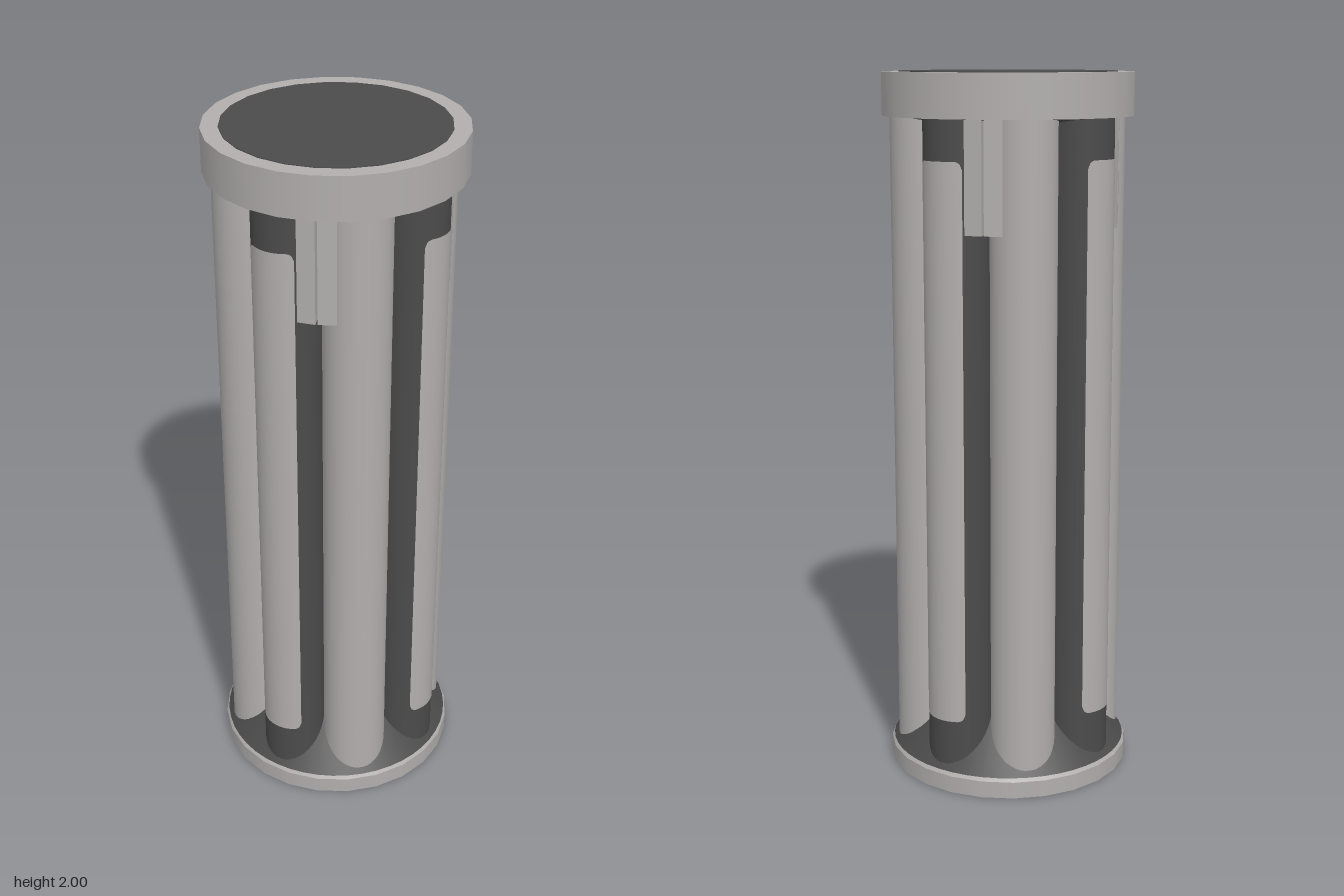
import * as THREE from 'three';

const light = new THREE.MeshStandardMaterial({ name: 'lightGrey', color: 0xb2aeae });
const dark = new THREE.MeshStandardMaterial({ name: 'darkGrey', color: 0x4b4b4b });

const RING = 0.238;  // distance of column centres from the axis
const RADIUS = 0.091;
const SIDES = 24;

function add(parent, name, geometry, material, x = 0, y = 0, z = 0) {
  const mesh = new THREE.Mesh(geometry, material);
  mesh.name = name;
  mesh.position.set(x, y, z);
  parent.add(mesh);
  return mesh;
}

// Upright cylinder or cone between two heights
function drum(parent, name, rTop, rBottom, y0, y1, material, sides = SIDES) {
  const geometry = new THREE.CylinderGeometry(rTop, rBottom, y1 - y0, sides);
  return add(parent, name, geometry, material, 0, (y0 + y1) / 2, 0);
}

// Thin curved plate over a quarter of a tube, with rounded corners
function plateGeometry(height, angle) {
  const corner = 0.022, radius = RADIUS + 0.0015, arc = Math.PI / 2;
  const g = new THREE.CylinderGeometry(radius, radius, height, 24, 1, true, angle - arc / 2, arc);
  const p = g.attributes.position, uv = g.attributes.uv;
  for (let i = 0; i < p.count; i++) {
    const u = uv.getX(i);
    const edge = Math.min(u, 1 - u) * arc * radius;
    const d = Math.max(0, corner - edge);
    const cut = corner - Math.sqrt(corner * corner - d * d);
    p.setY(i, p.getY(i) - Math.sign(p.getY(i)) * cut);
  }
  return g;
}

// Half of an upper block; side is -1 or 1
function blockGeometry(side) {
  const pts = [[0.003, 0.2], [0.056, 0.2], [0.056, 0.301], [0.003, 0.308]];
  const shape = new THREE.Shape(pts.map(([x, z]) => new THREE.Vector2(side * x, -z)));
  const g = new THREE.ExtrudeGeometry(shape, { depth: 0.305, bevelEnabled: false });
  return g.rotateX(-Math.PI / 2);
}

export function createModel() {
  const model = new THREE.Group();
  model.name = 'columnCage';

  // Base ring, its underside plate and the sloping foot
  drum(model, 'baseRing', 0.349, 0.349, 0.002, 0.05, light);
  drum(model, 'baseLip', 0.342, 0.349, 0.05, 0.06, light);
  drum(model, 'basePlate', 0.302, 0.302, 0, 0.006, dark);
  drum(model, 'footCone', 0.2, 0.342, 0.06, 0.225, dark, 48);

  // Top cap with inset disc and a shallow cone beneath
  drum(model, 'topCap', 0.349, 0.349, 1.88, 1.998, light);
  drum(model, 'topDisc', 0.302, 0.302, 1.994, 2, dark);
  drum(model, 'capCone', 0.33, 0.22, 1.865, 1.881, dark);
  drum(model, 'core', 0.2, 0.2, 0.1, 1.88, dark);

  for (let k = 0; k < 4; k++) {
    const turn = k * Math.PI / 2;
    const a = turn + Math.PI / 8;
    const b = turn - Math.PI / 8;

    // Light column
    const column = drum(model, 'lightColumn', RADIUS, RADIUS, 0.05, 1.89, light, 40);
    column.position.x = Math.sin(a) * RING;
    column.position.z = Math.cos(a) * RING;

    // Dark column with light facing plate
    const tube = drum(model, 'darkColumn', RADIUS, RADIUS, 0.05, 1.89, dark, 40);
    tube.position.x = Math.sin(b) * RING;
    tube.position.z = Math.cos(b) * RING;
    add(model, 'facingPlate', plateGeometry(1.565, b), light,
      tube.position.x, 0.988, tube.position.z);

    // Split block filling the upper gap
    const block = new THREE.Group();
    block.name = 'upperBlock';
    block.rotation.y = turn;
    for (const side of [-1, 1]) add(block, 'blockHalf', blockGeometry(side), light, 0, 1.578, 0);
    model.add(block);
  }
  return model;
}
